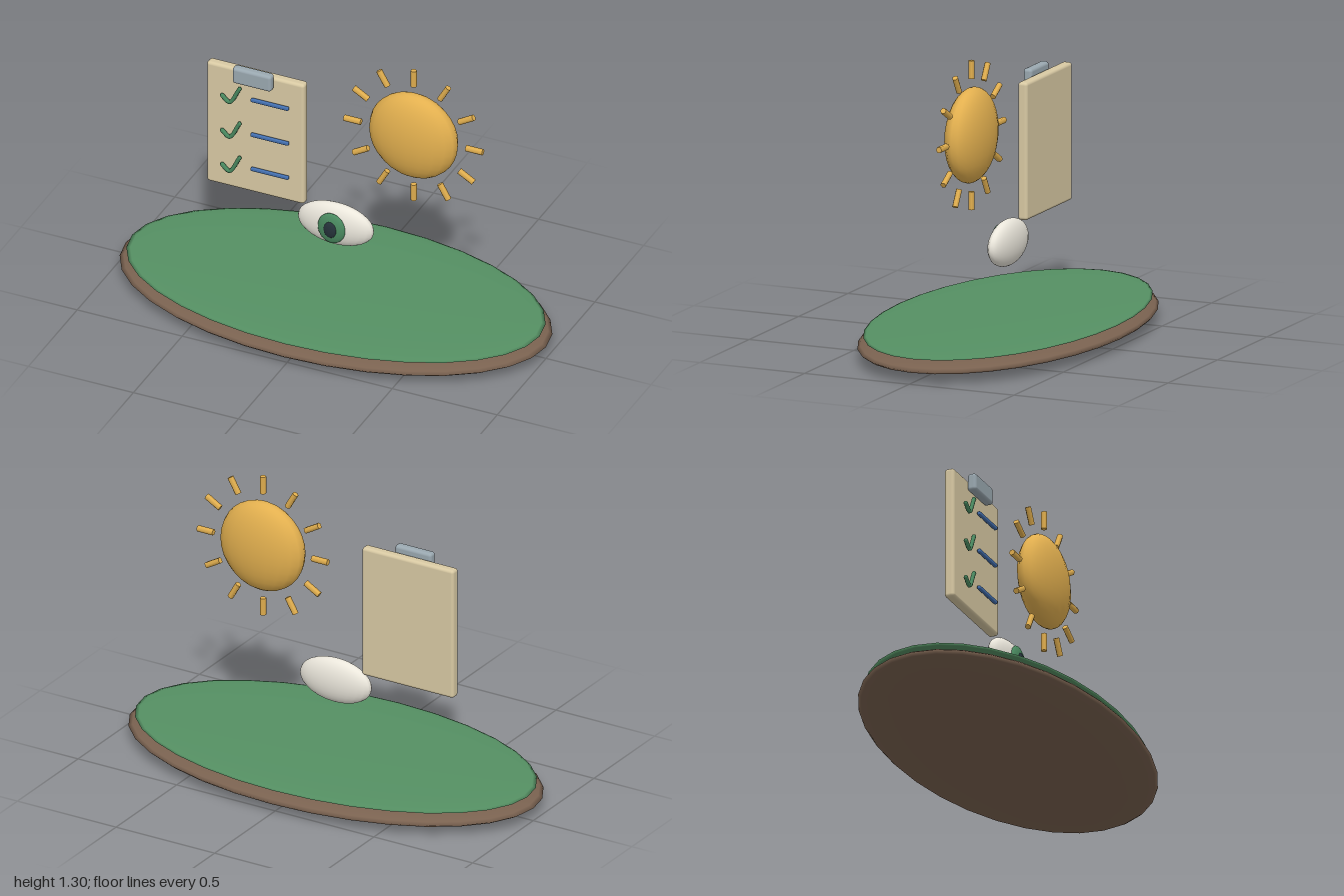
import * as THREE from 'three';
import { RoundedBoxGeometry } from 'three/addons/geometries/RoundedBoxGeometry.js';

const paint = (color) => new THREE.MeshStandardMaterial({ color });
const soil = paint(0x7a6250), grass = paint(0x559063), gold = paint(0xe3b04f), paper = paint(0xd8c9a3);
const steel = paint(0x9aa8b0), ink = paint(0x4470b0), leaf = paint(0x4a8a60), white = paint(0xebe7dc), dark = paint(0x25323a);

function add(parent, name, geometry, material, x = 0, y = 0, z = 0) {
  const mesh = new THREE.Mesh(geometry, material);
  mesh.name = name;
  mesh.position.set(x, y, z);
  parent.add(mesh);
  return mesh;
}

// Ellipsoid with the given radii
function ellipsoid(parent, name, material, [rx, ry, rz], [x, y, z], w = 24, h = 16) {
  const geometry = new THREE.SphereGeometry(1, w, h).scale(rx, ry, rz);
  return add(parent, name, geometry, material, x, y, z);
}

function group(parent, name, x, y) {
  const g = new THREE.Group();
  g.name = name;
  g.position.set(x, y, 0);
  parent.add(g);
  return g;
}

export function createModel() {
  const model = new THREE.Group();
  model.name = 'model';

  // Island: flattened soil with a thin grass layer
  ellipsoid(model, 'soilBase', soil, [1, 0.058, 0.545], [0, 0.058, 0], 32, 16);
  ellipsoid(model, 'grassTop', grass, [0.97, 0.018, 0.52], [0, 0.105, 0], 32, 16);

  // Sun: flattened disc and twelve rays
  const sun = group(model, 'sun', 0.37, 0.975);
  ellipsoid(sun, 'sunDisc', gold, [0.21, 0.21, 0.085], [0, 0, 0], 20, 16);
  const rayGeometry = new THREE.CylinderGeometry(0.014, 0.014, 0.08, 6);
  for (let i = 0; i < 12; i++) {
    const a = (i * Math.PI) / 6;
    const ray = add(sun, 'sunRay', rayGeometry, gold, Math.cos(a) * 0.29, Math.sin(a) * 0.29, 0);
    ray.rotation.z = a - Math.PI / 2;
  }

  // Clipboard: board, clip and three ticked lines
  const clipboard = group(model, 'clipboard', -0.375, 0.797);
  add(clipboard, 'board', new RoundedBoxGeometry(0.465, 0.61, 0.046, 3, 0.014), paper);
  add(clipboard, 'clip', new RoundedBoxGeometry(0.185, 0.08, 0.042, 3, 0.014), steel, 0, 0.293, 0.042);
  const tickPath = new THREE.CatmullRomCurve3([
    new THREE.Vector3(-0.148, -0.012, 0),
    new THREE.Vector3(-0.113, -0.037, 0),
    new THREE.Vector3(-0.065, 0.042, 0),
  ]);
  const tickGeometry = new THREE.TubeGeometry(tickPath, 16, 0.01, 6);
  const lineGeometry = new RoundedBoxGeometry(0.18, 0.017, 0.016, 2, 0.005);
  for (const y of [0.178, 0, -0.175]) {
    add(clipboard, 'tick', tickGeometry, leaf, 0, y, 0.042);
    // Small caps close the ends of the tick
    for (const end of [0, 1]) {
      const p = tickPath.getPoint(end);
      add(clipboard, 'tickEnd', new THREE.SphereGeometry(0.01, 6, 4), leaf, p.x, p.y + y, 0.042);
    }
    add(clipboard, 'textLine', lineGeometry, ink, 0.078, y, 0.039);
  }

  // Eye: white, iris and pupil
  const eye = group(model, 'eye', 0, 0.425);
  ellipsoid(eye, 'eyeWhite', white, [0.18, 0.103, 0.05], [0, 0, 0]);
  ellipsoid(eye, 'iris', leaf, [0.065, 0.074, 0.02], [0, 0, 0.046]);
  ellipsoid(eye, 'pupil', dark, [0.031, 0.04, 0.012], [0, 0, 0.061], 16, 12);

  return model;
}
